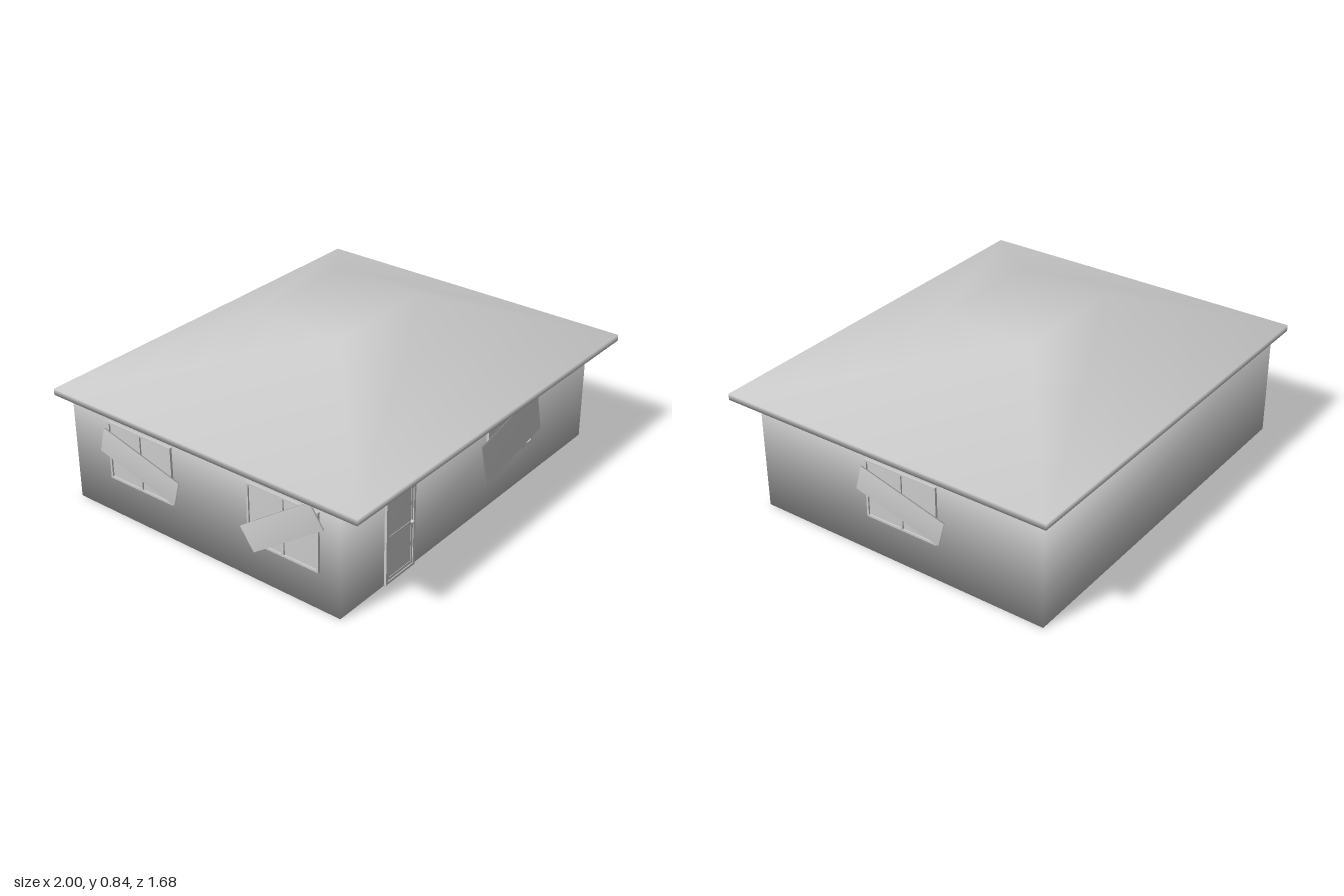
import * as THREE from 'three';
import { mergeVertices } from 'three/addons/utils/BufferGeometryUtils.js';

const grey = new THREE.MeshStandardMaterial({ color: 0xcccccc });

function add(parent, name, geometry, x = 0, y = 0, z = 0) {
  const mesh = new THREE.Mesh(geometry, grey);
  mesh.name = name;
  mesh.position.set(x, y, z);
  parent.add(mesh);
  return mesh;
}

// Weld shared corners so the shading runs softly around the edges
function soften(geometry) {
  geometry.deleteAttribute('uv');
  geometry.deleteAttribute('normal');
  const welded = mergeVertices(geometry, 1e-4);
  welded.computeVertexNormals();
  return welded;
}

const softBox = (w, h, d) => soften(new THREE.BoxGeometry(w, h, d));

// Frame with rectangular holes given as [x0, y0, x1, y1]
function frameGeometry(w, h, depth, holes) {
  const rect = (path, x0, y0, x1, y1) =>
    path.moveTo(x0, y0).lineTo(x1, y0).lineTo(x1, y1).lineTo(x0, y1).closePath();
  const shape = new THREE.Shape();
  rect(shape, -w / 2, -h / 2, w / 2, h / 2);
  for (const hole of holes) {
    const path = new THREE.Path();
    rect(path, ...hole);
    shape.holes.push(path);
  }
  return new THREE.ExtrudeGeometry(shape, { depth, bevelEnabled: false });
}

// Two-pane window with a crooked board nailed across; local +z points outwards
function boardedWindow(name, boardHeight, boardTilt, boardY) {
  const w = 0.375, h = 0.285, rim = 0.01, bar = 0.007;
  const group = new THREE.Group();
  group.name = name;
  const [px, py] = [w / 2 - rim, h / 2 - rim];
  add(group, 'windowFrame', frameGeometry(w, h, 0.012, [[-px, -py, -bar, py], [bar, -py, px, py]]));
  for (const s of [-1, 1]) {
    add(group, 'windowPane', softBox(px - bar, 2 * py, 0.004), s * (px + bar) / 2, 0, 0.002);
  }
  const board = add(group, 'board', softBox(0.45, boardHeight, 0.008), 0, boardY, 0.016);
  board.rotation.z = THREE.MathUtils.degToRad(boardTilt);
  return group;
}

function createDoor() {
  const w = 0.2, h = 0.455, rim = 0.013;
  const door = new THREE.Group();
  door.name = 'door';
  const [px, py] = [w / 2 - rim, h / 2 - rim];
  add(door, 'doorFrame', frameGeometry(w, h, 0.012, [[-px, -py, px, py]]));
  add(door, 'doorLeaf', softBox(2 * px, 2 * py, 0.006), 0, 0, 0.003);
  // Raised surround of the two door panels
  const [ix, iy] = [px - 0.012, py - 0.014];
  add(door, 'doorPanels', frameGeometry(2 * px, 2 * py, 0.003,
    [[-ix, -iy, ix, -0.008], [-ix, 0.002, ix, iy]]), 0, 0, 0.005);
  add(door, 'doorKnob', new THREE.SphereGeometry(0.009, 16, 12), 0.073, 0.003, 0.017);
  return door;
}

export function createModel() {
  const house = new THREE.Group();
  house.name = 'house';

  add(house, 'walls', softBox(1.88, 0.54, 1.5), 0, 0.27, -0.04);

  // Hipped roof: thin eave, then sloping in to a small flat top
  const roof = new THREE.BoxGeometry(2, 2, 1.68, 1, 2, 1);
  const pos = roof.attributes.position;
  for (let i = 0; i < pos.count; i++) {
    const level = Math.round(pos.getY(i)) + 1;
    pos.setY(i, [0.53, 0.56, 0.843][level]);
    if (level === 2) {
      pos.setX(i, Math.sign(pos.getX(i)) * 0.295);
      pos.setZ(i, pos.getZ(i) > 0 ? 0.195 : -0.27);
    }
  }
  add(house, 'roof', soften(roof));

  const door = createDoor();
  door.position.set(-0.55, 0.232, 0.71);
  house.add(door);

  // [name, x, z, turn, board height, board tilt, board offset]
  const windows = [
    ['frontWindow', 0.28, 0.71, 0, 0.22, 12.5, -0.035],
    ['rightSideWindow', 0.94, -0.075, Math.PI / 2, 0.125, -14.8, -0.013],
    ['leftSideRearWindow', -0.94, -0.38, -Math.PI / 2, 0.125, -14.8, -0.013],
    ['leftSideFrontWindow', -0.94, 0.42, -Math.PI / 2, 0.125, 35, 0],
  ];
  for (const [name, x, z, turn, ...board] of windows) {
    const unit = boardedWindow(name, ...board);
    unit.position.set(x, 0.328, z);
    unit.rotation.y = turn;
    house.add(unit);
  }
  return house;
}
